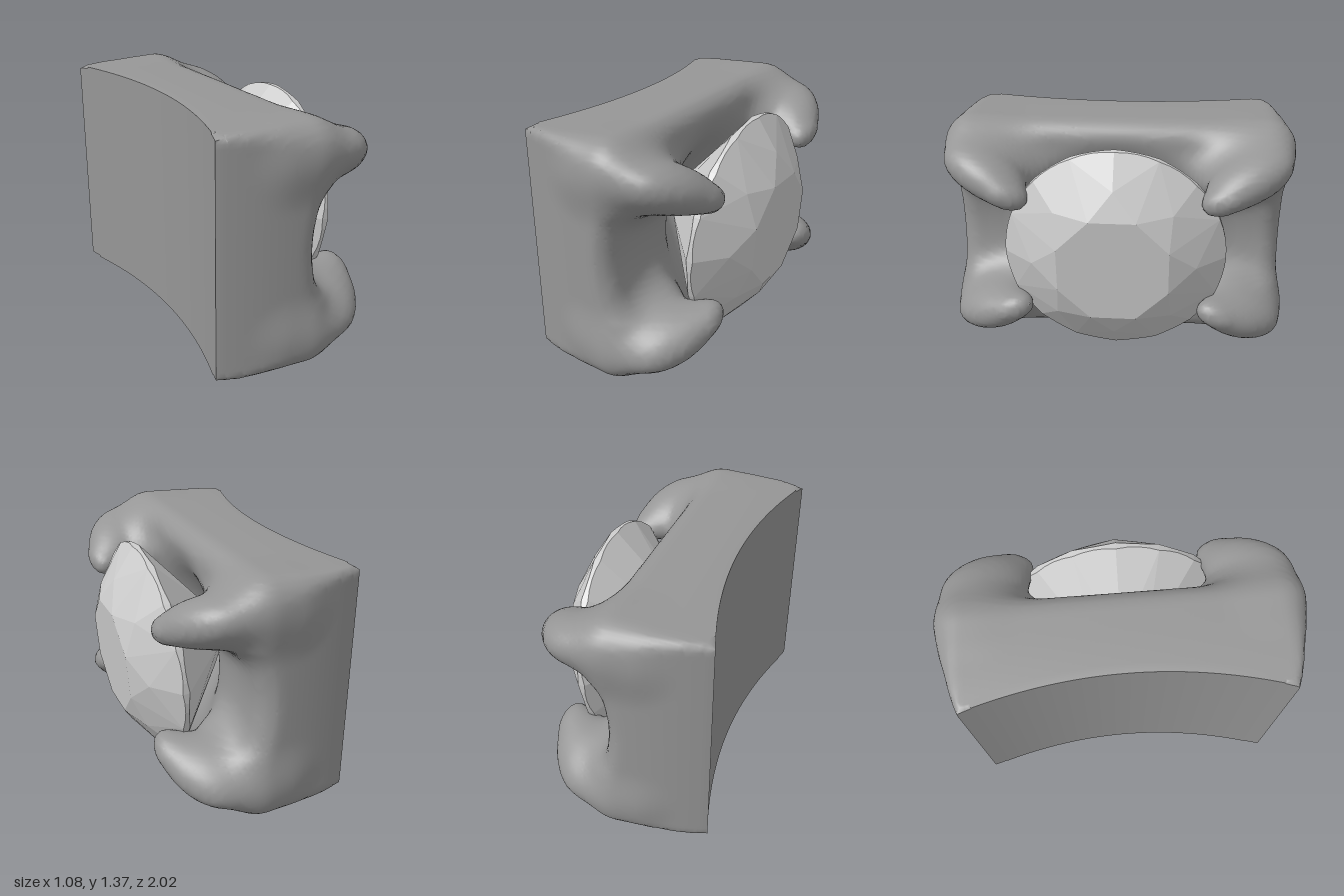
import * as THREE from 'three';
import { toCreasedNormals } from 'three/addons/utils/BufferGeometryUtils.js';
import { ConvexGeometry } from 'three/addons/geometries/ConvexGeometry.js';

const MID = 0.68; // height of the symmetry plane
const STEP = 0.025; // resolution of the sculpted metal
const { smoothstep, clamp } = THREE.MathUtils;

// Smooth union of two distances with blend width k
const blend = (a, b, k) => {
  const h = Math.max(k - Math.abs(a - b), 0) / k;
  return Math.min(a, b) - h * h * k / 4;
};

// Concave back surface: x as a function of z
const backX = (z) => -0.4 - 0.14 * (z / 0.87) ** 2;

// Claw sections are wide in z and slanted, so they are measured in a squashed space
const squash = (x, y, z) => [x, y - 0.25 * z, z * 0.64];

// Claw spine: x, y above the middle, z, radius
const CLAW = [
  [-0.12, 0.4, 0.66, 0.158], [0.07, 0.43, 0.71, 0.163], [0.2, 0.432, 0.74, 0.149],
  [0.3, 0.41, 0.69, 0.125], [0.385, 0.36, 0.6, 0.084],
];
const spine = new THREE.CatmullRomCurve3(CLAW.map(([x, y, z]) => new THREE.Vector3(x, y, z)), false, 'catmullrom');
const girth = new THREE.CatmullRomCurve3(CLAW.map((p) => new THREE.Vector3(p[3], 0, 0)), false, 'catmullrom');
const LINKS = Array.from({ length: 21 }, (_, i) => {
  const p = spine.getPoint(i / 20);
  return [...squash(p.x, p.y, p.z), girth.getPoint(i / 20).x];
});

function clawDistance(x, y, z) {
  const [sx, sy, sz] = squash(x, y, z);
  let best = Infinity;
  for (let i = 0; i < LINKS.length - 1; i++) {
    const [ax, ay, az, ar] = LINKS[i], [bx, by, bz, br] = LINKS[i + 1];
    const dx = bx - ax, dy = by - ay, dz = bz - az;
    const px = sx - ax, py = sy - ay, pz = sz - az;
    const t = clamp((px * dx + py * dy + pz * dz) / (dx * dx + dy * dy + dz * dz), 0, 1);
    best = Math.min(best, Math.hypot(px - t * dx, py - t * dy, pz - t * dz) - ar - t * (br - ar));
  }
  return best;
}

// Signed distance of the metal: rounded block + four claws - conical seat
function settingDistance(x, yWorld, zWorld) {
  const y = Math.abs(yWorld - MID), z = Math.abs(zWorld);
  const r = 0.03 + 0.09 * smoothstep(x, -0.54, 0);
  const depth = 0.97 - 0.1 * (Math.min(x, 0) / 0.54) ** 2;
  const height = 0.674 - 0.014 * (Math.min(x + 0.15, 0) / 0.39) ** 2;
  // The front dips to a saddle between the claws on each side
  const front = 0.085 - 0.065 * Math.max(1 - (y / 0.32) ** 2, 0) * smoothstep(z, 0.3, 0.7);
  const qx = x - front + r, qy = y - height + r, qz = z - depth + r;
  const block = Math.hypot(Math.max(qx, 0), Math.max(qy, 0), Math.max(qz, 0))
    + Math.min(Math.max(qx, qy, qz), 0) - r;
  const metal = blend(block, clawDistance(x, y, z), 0.16);
  const seat = (Math.hypot(y, z) - Math.min(1.3 * (x + 0.3), 0.5)) * 0.7;
  return -blend(-metal, seat, 0.08);
}

// Skin the distance field on a grid that follows the curved back
function settingGeometry() {
  const N = [48, 64, 92];
  const at = (i, j, k) => (i * N[1] + j) * N[2] + k;
  const point = (i, j, k) => [(i - 0.5) * STEP, MID + (j - 31.5) * STEP, (k - 45.5) * STEP];
  const field = new Float32Array(N[0] * N[1] * N[2]);
  for (let i = 0; i < N[0]; i++) for (let j = 0; j < N[1]; j++) for (let k = 0; k < N[2]; k++) {
    const [s, y, z] = point(i, j, k);
    field[at(i, j, k)] = i === 0 ? STEP / 2 : settingDistance(backX(z) + s, y, z);
  }

  // One vertex per cell crossed by the surface
  const positions = [], indices = [], cell = new Int32Array(field.length).fill(-1);
  for (let i = 0; i < N[0] - 1; i++) for (let j = 0; j < N[1] - 1; j++) for (let k = 0; k < N[2] - 1; k++) {
    const sum = [0, 0, 0];
    let count = 0;
    for (let c = 0; c < 8; c++) for (let axis = 0; axis < 3; axis++) {
      if (c >> axis & 1) continue;
      const a = [i + (c & 1), j + (c >> 1 & 1), k + (c >> 2 & 1)], b = [...a];
      b[axis]++;
      const fa = field[at(...a)], fb = field[at(...b)];
      if ((fa < 0) === (fb < 0)) continue;
      const p = point(...a);
      p[axis] += STEP * fa / (fa - fb);
      p.forEach((v, n) => { sum[n] += v; });
      count++;
    }
    if (!count) continue;
    cell[at(i, j, k)] = positions.length / 3;
    const s = i === 0 ? 0 : sum[0] / count; // the back rim stays crisp
    const y = sum[1] / count, z = sum[2] / count;
    positions.push(backX(z) + s, y, z);
  }

  // One quad per grid edge crossed by the surface
  for (let i = 0; i < N[0] - 1; i++) for (let j = 1; j < N[1] - 1; j++) for (let k = 1; k < N[2] - 1; k++) {
    for (let axis = 0; axis < 3; axis++) {
      const n = [i, j, k], m = [i, j, k], b = (axis + 1) % 3, c = (axis + 2) % 3;
      m[axis]++;
      const inside = field[at(...n)] < 0;
      if (inside === field[at(...m)] < 0) continue;
      const q = [[1, 1], [0, 1], [0, 0], [1, 0]].map(([u, v]) => {
        const g = [...n];
        g[b] -= u;
        g[c] -= v;
        return cell[at(...g)];
      });
      if (!inside) q.reverse();
      indices.push(q[0], q[1], q[2], q[0], q[2], q[3]);
    }
  }

  const geometry = new THREE.BufferGeometry();
  geometry.setAttribute('position', new THREE.Float32BufferAttribute(positions, 3));
  geometry.setIndex(indices);
  return toCreasedNormals(geometry, 0.9);
}

// Round brilliant cut with its axis along x
function gemGeometry() {
  const points = [new THREE.Vector3(-0.52, 0, 0)];
  // slope makes a ring wavy, so its points lie on 16 flat facets
  const ring = (count, radius, x, turn = 0, slope = 0) => {
    for (let i = 0; i < count; i++) {
      const a = (i + turn) / count * Math.PI * 2;
      const sector = Math.PI / 8, off = a % sector - sector / 2;
      const bulge = radius * (Math.cos(off) - Math.cos(sector / 2));
      points.push(new THREE.Vector3(x - slope * bulge, radius * Math.cos(a), radius * Math.sin(a)));
    }
  };
  ring(8, 0.335, 0.22, 0.5); // table
  ring(8, 0.46, 0.15); // crown
  ring(64, 0.63, 0.02, 0, 0.78); // girdle
  ring(64, 0.63, -0.02, 0, -0.84);
  ring(8, 0.2, -0.375); // pavilion
  return new ConvexGeometry(points);
}

export function createModel() {
  const model = new THREE.Group();
  model.name = 'gemSetting';

  const setting = new THREE.Mesh(settingGeometry(), new THREE.MeshStandardMaterial({ color: 0x969696 }));
  setting.name = 'clawSetting';

  const gem = new THREE.Mesh(gemGeometry(), new THREE.MeshStandardMaterial({ color: 0xcccccc, flatShading: true }));
  gem.name = 'gem';
  gem.position.set(0.3, 0.665, 0);
  gem.rotation.z = -0.08; // slight tilt

  model.add(setting, gem);
  return model;
}
